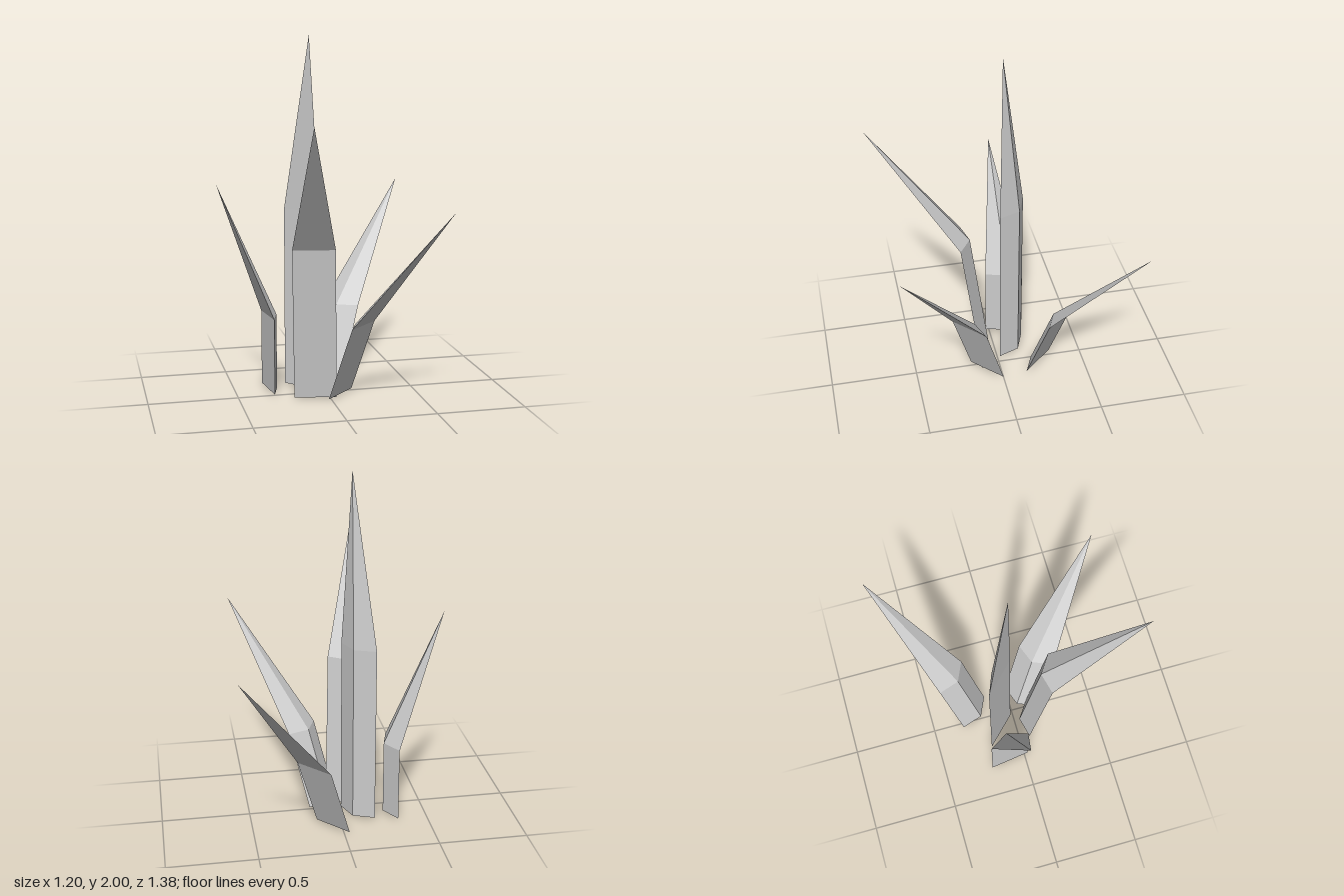
import * as THREE from 'three';

const HALF_WIDTH = 0.118; // half the flat outer face
const RIDGE = 0.052;      // depth of the inner ridge

// A blade: a leaning three-sided stem that bends at the knee and tapers to a point.
// angle is the way the flat face looks, measured about y from +z.
function bladeGeometry({ base, angle, lean, knee, tip }) {
  const s = Math.sin(angle), c = Math.cos(angle);
  // ridge, left edge, right edge: counter-clockwise from above
  const section = [[0, -RIDGE], [-HALF_WIDTH, 0], [HALF_WIDTH, 0]]
    .map(([u, v]) => [u * c + v * s, -u * s + v * c]);
  const ring = (x, y, z) => section.map(([dx, dz]) => [x + dx, y, z + dz]);
  const low = ring(...base);
  const high = ring(base[0] + lean[0], knee, base[2] + lean[1]);

  const tris = [low[0], low[2], low[1]]; // bottom cap
  for (let i = 0; i < 3; i++) {
    const j = (i + 1) % 3;
    tris.push(low[i], low[j], high[j], low[i], high[j], high[i]); // stem side
    tris.push(high[i], high[j], tip);                             // pointed side
  }
  const geometry = new THREE.BufferGeometry();
  geometry.setAttribute('position', new THREE.Float32BufferAttribute(tris.flat(), 3));
  geometry.computeVertexNormals();
  return geometry;
}

export function createModel() {
  const group = new THREE.Group();
  group.name = 'spikyPlant';
  const material = new THREE.MeshStandardMaterial({ color: 0xcccccc, flatShading: true });

  const blades = {
    backLeftBlade: { base: [0.05, 0.01, -0.23], angle: 2.31, lean: [0.12, -0.1], knee: 0.43, tip: [0.6, 1.11, -0.69] },
    frontLeftBlade: { base: [0.065, 0.01, 0.083], angle: 0.77, lean: [0.1, 0.12], knee: 0.43, tip: [0.54, 1.11, 0.625] },
    frontBlade: { base: [-0.078, 0, 0.085], angle: -0.177, lean: [-0.032, 0.112], knee: 0.86, tip: [-0.215, 1.57, 0.69] },
    centreBlade: { base: [-0.116, 0.01, -0.099], angle: -0.785, lean: [0, 0], knee: 1.03, tip: [-0.085, 2, -0.04] },
    rightBlade: { base: [-0.313, 0.01, -0.097], angle: -1.43, lean: [0, 0], knee: 0.44, tip: [-0.6, 1.2, -0.063] },
  };
  for (const [name, shape] of Object.entries(blades)) {
    const mesh = new THREE.Mesh(bladeGeometry(shape), material);
    mesh.name = name;
    group.add(mesh);
  }
  return group;
}
